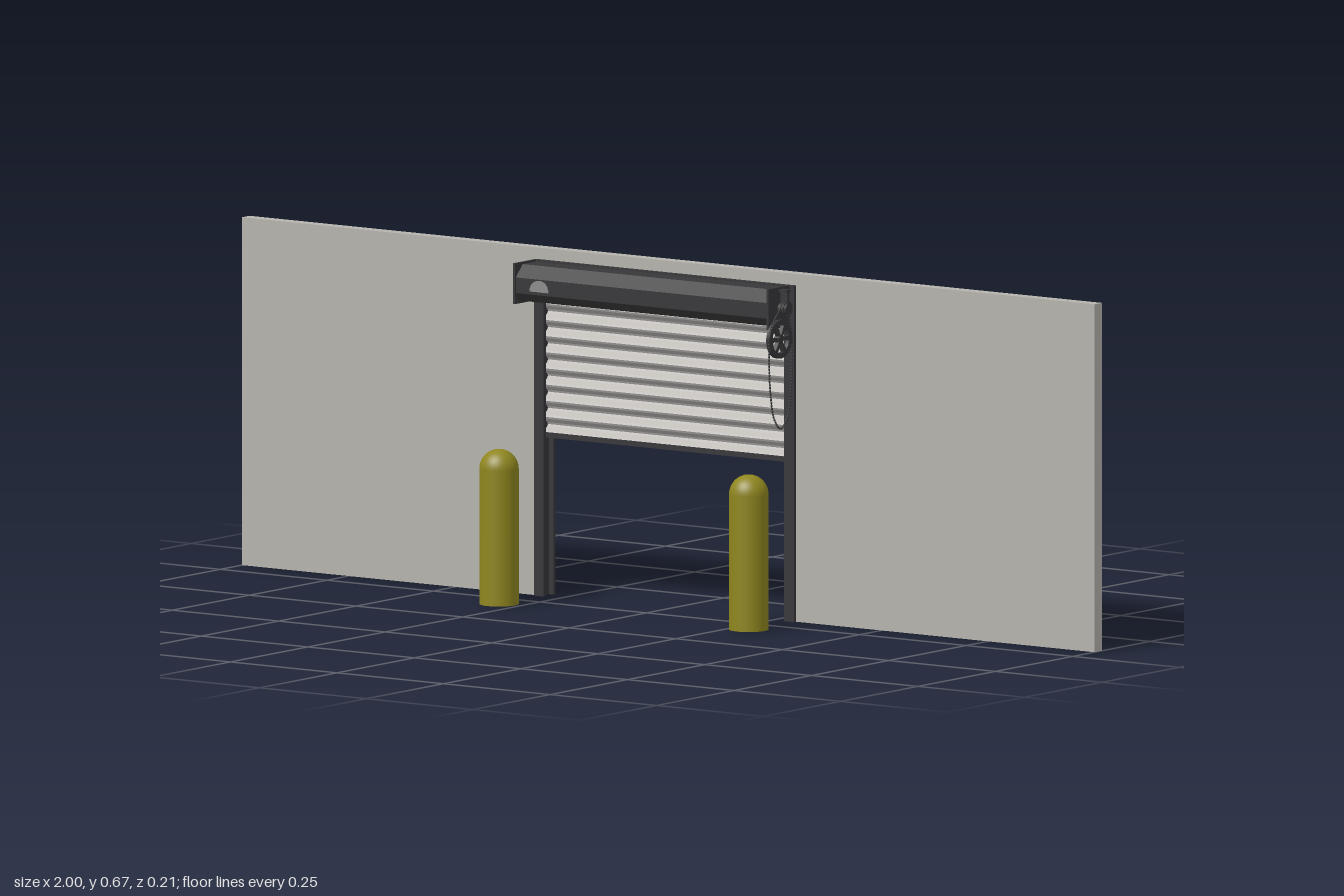
import * as THREE from 'three';
import { mergeGeometries } from 'three/addons/utils/BufferGeometryUtils.js';

const mat = (name, color) => Object.assign(new THREE.MeshStandardMaterial({ color }), { name });

export function createModel() {
  const root = new THREE.Group();
  root.name = 'rollerDoor';
  const concrete = mat('concrete grey', 0xb5b3ad);
  const slatGrey = mat('slat grey', 0xbdbab6);
  const charcoal = mat('charcoal steel', 0x38383a);
  const yellow = mat('bollard yellow', 0x8f861f);
  const plateGrey = mat('plate grey', 0x8c8c8c);
  const CX = -0.005; // middle of the doorway

  const add = (name, geo, material) => {
    const m = new THREE.Mesh(geo, material);
    m.name = name;
    root.add(m);
    return m;
  };
  // box given by its limits
  const box = (name, x0, x1, y0, y1, z0, z1, material) =>
    add(name, new THREE.BoxGeometry(x1 - x0, y1 - y0, z1 - z0), material)
      .position.set((x0 + x1) / 2, (y0 + y1) / 2, (z0 + z1) / 2);
  // shape drawn in (z, y), extruded from x0 to x1
  const prismGeo = (shape, x0, x1) =>
    new THREE.ExtrudeGeometry(shape, { depth: x1 - x0, bevelEnabled: false, curveSegments: 32 })
      .rotateY(-Math.PI / 2).translate(x1, 0, 0);
  const poly = (pts) => new THREE.Shape(pts.map(([a, b]) => new THREE.Vector2(a, b)));

  // wall with doorway
  const wall = poly([[-1, 0], [CX - 0.3, 0], [CX - 0.3, 0.635], [CX + 0.3, 0.635],
    [CX + 0.3, 0], [1, 0], [1, 0.667], [-1, 0.667]]);
  add('wall', new THREE.ExtrudeGeometry(wall, { depth: 0.025, bevelEnabled: false })
    .translate(0, 0, -0.095), concrete);

  // door frame: channel guides on both sides and a header
  for (const s of [-1, 1]) {
    const bar = (name, a, b, z0, z1) => {
      const [x0, x1] = [CX + s * a, CX + s * b].sort((p, q) => p - q);
      box(name, x0, x1, 0, 0.645, z0, z1, charcoal);
    };
    bar('guideWeb', 0.293, 0.303, -0.0955, -0.0695);
    bar('guideFrontFlange', 0.282, 0.305, -0.07, -0.063);
    bar('guideBackFlange', 0.282, 0.305, -0.102, -0.095);
  }
  box('headerBack', CX - 0.283, CX + 0.283, 0.612, 0.645, -0.102, -0.095, charcoal);
  box('headerFront', CX - 0.283, CX + 0.283, 0.612, 0.645, -0.07, -0.063, charcoal);
  box('headerSoffit', CX - 0.295, CX + 0.295, 0.625, 0.637, -0.0955, -0.0695, charcoal);

  // corrugated curtain
  const front = [], back = [];
  const slats = 10, steps = 8, bottom = 0.312, pitch = 0.031;
  for (let i = 0; i <= slats * steps; i++) {
    const y = bottom + (i / steps) * pitch;
    const z = -0.0825 + 0.007 * Math.cos((i / steps) * Math.PI * 2);
    front.push([z + 0.0015, y]);
    back.unshift([z - 0.0015, y]);
  }
  add('curtain', prismGeo(poly([...front, ...back]), CX - 0.29, CX + 0.29), slatGrey);
  box('bottomBar', CX - 0.29, CX + 0.29, 0.304, 0.314, -0.09, -0.073, charcoal);

  // hood with chamfered front, and square end plates
  const hood = poly([[-0.063, 0.572], [-0.012, 0.572], [0.002, 0.588], [0.002, 0.618],
    [-0.02, 0.641], [-0.063, 0.641]]);
  add('hood', prismGeo(hood, CX - 0.3, CX + 0.292), charcoal);
  for (const x of [CX - 0.305, CX + 0.29])
    box('hoodEndPlate', x, x + 0.005, 0.567, 0.645, -0.063, 0.005, charcoal);
  // plain half-round cover on the hood
  const cover = new THREE.Shape();
  cover.absarc(0, 0, 0.022, 0, Math.PI, false);
  add('hoodCover', new THREE.ExtrudeGeometry(cover, { depth: 0.003, bevelEnabled: false }), plateGrey)
    .position.set(-0.25, 0.594, 0.001);

  // axle ends with eye and lug on both sides
  for (const s of [-1, 1]) {
    const x = CX + s * 0.304;
    const axle = add('axleEnd', new THREE.CylinderGeometry(0.011, 0.011, 0.02, 20), charcoal);
    axle.rotation.z = Math.PI / 2;
    axle.position.set(x, 0.604, -0.035);
    const ring = add('axleRing', new THREE.TorusGeometry(0.014, 0.002, 8, 24), charcoal);
    ring.rotation.y = Math.PI / 2;
    ring.position.set(x + s * 0.006, 0.604, -0.035);
    box('axleLug', x - 0.008, x + 0.008, 0.615, 0.64, -0.037, -0.033, charcoal);
    box('axleLugHead', x - 0.009, x + 0.009, 0.636, 0.641, -0.042, -0.028, charcoal);
  }

  // spoked chain wheel
  const wheel = new THREE.Shape();
  wheel.absarc(0, 0, 0.037, 0, Math.PI * 2, false);
  for (let i = 0; i < 6; i++) {
    const a = (i * Math.PI) / 3 + Math.PI / 6;
    const hole = new THREE.Path();
    hole.absarc(0, 0, 0.027, a - 0.36, a + 0.36, false);
    hole.absarc(0, 0, 0.009, a + 0.2, a - 0.2, true);
    hole.closePath();
    wheel.holes.push(hole);
  }
  add('chainWheel', prismGeo(wheel, 0, 0.008), charcoal).position.set(0.291, 0.547, -0.023);
  const hub = add('wheelHub', new THREE.CylinderGeometry(0.008, 0.008, 0.012, 20), charcoal);
  hub.rotation.z = Math.PI / 2;
  hub.position.set(0.294, 0.547, -0.023);

  // hanging chain: a thin cord with links
  const path = new THREE.CatmullRomCurve3([[-0.035, 0.617], [-0.018, 0.6], [0.008, 0.567],
    [0.0125, 0.52], [0.009, 0.45], [-0.004, 0.395], [-0.025, 0.375], [-0.046, 0.395],
    [-0.058, 0.45], [-0.062, 0.52], [-0.058, 0.567], [-0.048, 0.6]]
    .map(([z, y]) => new THREE.Vector3(0.297, y, z)), true);
  const links = [new THREE.TubeGeometry(path, 120, 0.0009, 5, true)];
  for (let i = 0; i < 90; i++) {
    const p = path.getPointAt(i / 90), t = path.getTangentAt(i / 90);
    links.push(new THREE.SphereGeometry(0.002, 8, 6).scale(1, 1.4, 1)
      .rotateX(Math.atan2(t.z, t.y)).translate(p.x, p.y, p.z));
  }
  add('chain', mergeGeometries(links), charcoal);

  // domed bollards
  const profile = [new THREE.Vector2(0, 0), new THREE.Vector2(0.0375, 0)];
  const shaft = [new THREE.Vector2(0.0375, 0)];
  for (let i = 0; i <= 12; i++) {
    const a = (i / 12) * Math.PI / 2;
    shaft.push(new THREE.Vector2(0.0375 * Math.cos(a), 0.2595 + 0.0375 * Math.sin(a)));
  }
  for (const s of [-1, 1]) {
    const x = CX + s * 0.293;
    add('bollard', new THREE.LatheGeometry(shaft, 40), yellow).position.set(x, 0, 0.066);
    add('bollardBase', new THREE.LatheGeometry(profile, 40), yellow).position.set(x, 0, 0.066);
  }
  return root;
}
